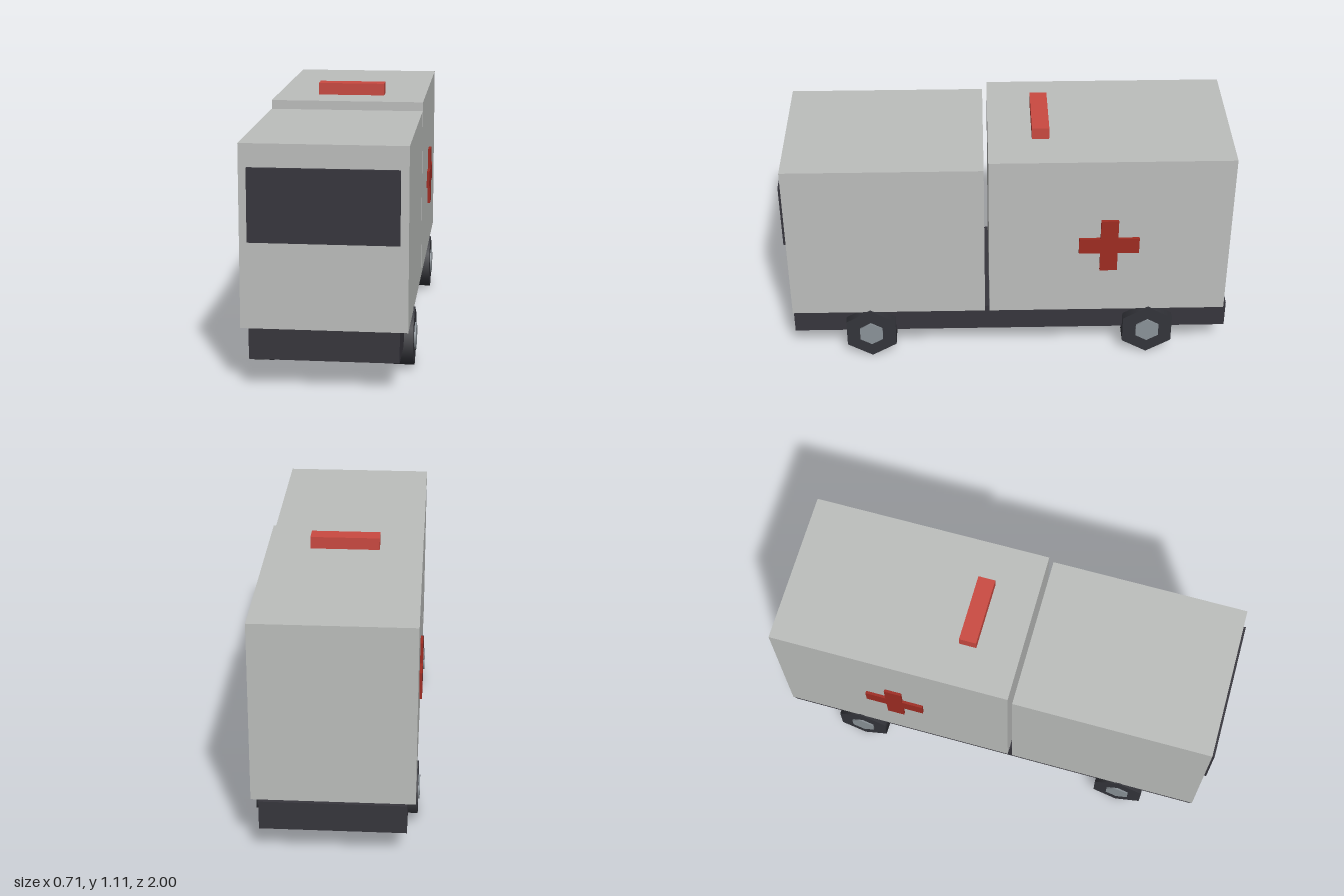
import * as THREE from 'three';

const mat = (name, color) => {
  const m = new THREE.MeshStandardMaterial({ color });
  m.name = name;
  return m;
};

export function createModel() {
  const model = new THREE.Group();
  model.name = 'ambulance';
  const grey = mat('body grey', 0xbdbfbd);
  const dark = mat('chassis dark', 0x37363d);
  const rubber = mat('tyre dark', 0x34353b);
  const steel = mat('hub steel', 0x8b9399);
  const lightRed = mat('beacon red', 0xcb4a41);
  const crossRed = mat('cross red', 0xa02c22);

  const add = (name, geometry, material, parent = model) => {
    const mesh = new THREE.Mesh(geometry, material);
    mesh.name = name;
    parent.add(mesh);
    return mesh;
  };
  // Box given by its half width and its y and z limits
  const box = (name, material, hx, y0, y1, z0, z1) =>
    add(name, new THREE.BoxGeometry(2 * hx, y1 - y0, z1 - z0), material)
      .position.set(0, (y0 + y1) / 2, (z0 + z1) / 2);

  // Chassis, the two body sections, windscreen and roof beacon
  box('chassis', dark, 0.309, 0.12, 0.25, -1, 0.985);
  box('cab', grey, 0.343, 0.25, 1.016, 0.108, 0.985);
  box('rearCompartment', grey, 0.343, 0.25, 1.053, -0.983, 0.088);
  box('windscreen', dark, 0.309, 0.613, 0.919, 0.98, 1);
  box('beacon', lightRed, 0.152, 1.053, 1.107, -0.181, -0.105);

  // Cross outline for the side panels
  const a = 0.039, b = 0.134;
  const cross = new THREE.Shape([
    [a, a], [a, b], [-a, b], [-a, a], [-b, a], [-b, -a],
    [-a, -a], [-a, -b], [a, -b], [a, -a], [b, -a], [b, a],
  ].map(([x, y]) => new THREE.Vector2(x, y)));
  const crossGeometry = new THREE.ExtrudeGeometry(cross, { depth: 0.012, bevelEnabled: false });

  // Six-sided wheel parts with the axis along x and a corner at the top
  const hex = (radius, width) =>
    new THREE.CylinderGeometry(radius, radius, width, 6).rotateY(Math.PI / 2).rotateZ(Math.PI / 2);
  const tyreGeometry = hex(0.13, 0.09);
  const hubGeometry = hex(0.06, 0.104);

  for (const [side, label] of [[1, 'left'], [-1, 'right']]) {
    const emblem = add(label + 'Cross', crossGeometry, crossRed);
    emblem.position.set(side * 0.343, 0.615, -0.445);
    emblem.rotation.y = side * Math.PI / 2;

    for (const [z, end] of [[0.632, 'Front'], [-0.638, 'Rear']]) {
      const wheel = new THREE.Group();
      wheel.name = label + end + 'Wheel';
      wheel.position.set(side * 0.304, 0.13, z);
      add('tyre', tyreGeometry, rubber, wheel);
      add('hub', hubGeometry, steel, wheel);
      model.add(wheel);
    }
  }
  return model;
}
